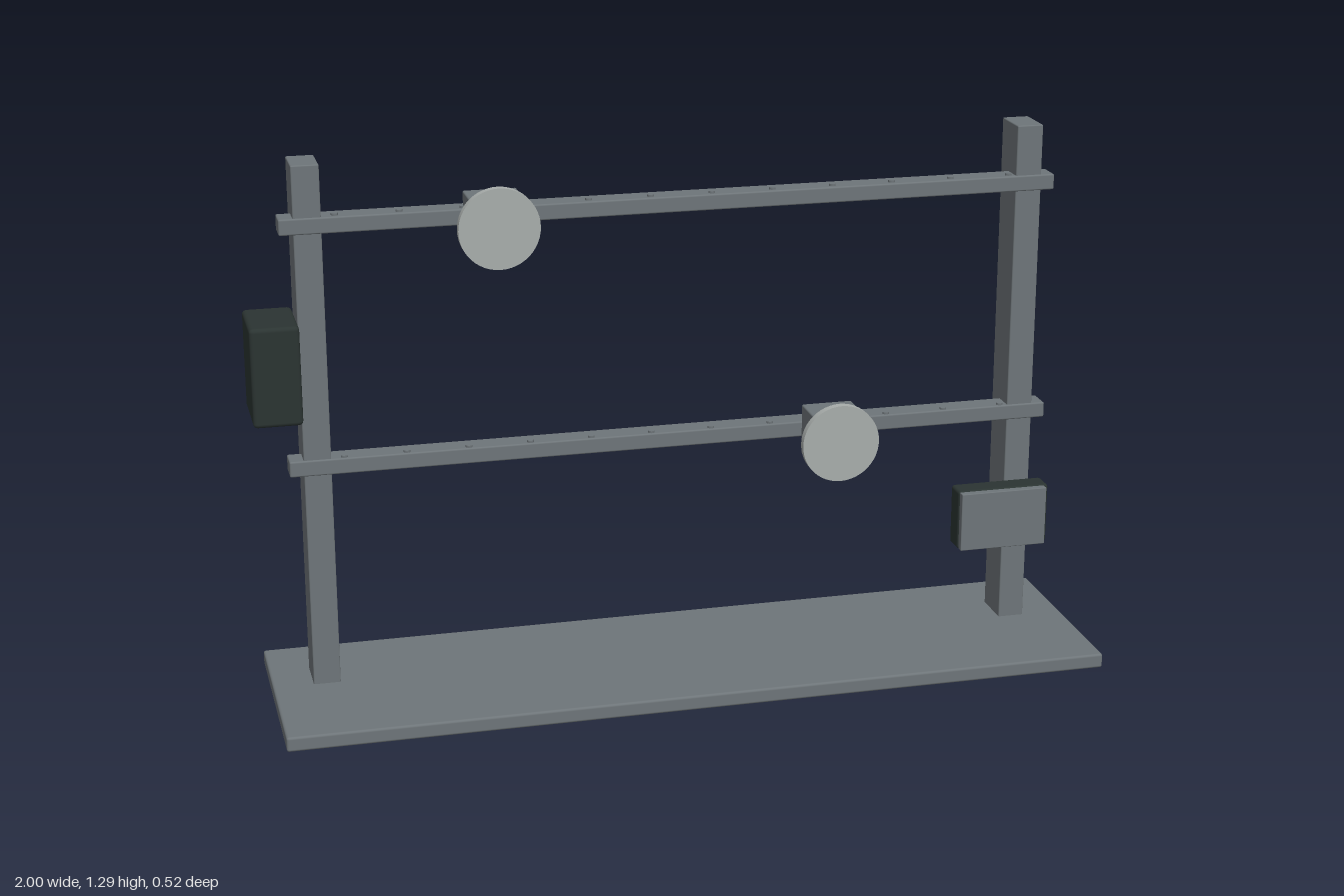
import * as THREE from 'three';
import { RoundedBoxGeometry } from 'three/addons/geometries/RoundedBoxGeometry.js';

function material(name, color) {
  const m = new THREE.MeshStandardMaterial({ color });
  m.name = name;
  return m;
}

export function createModel() {
  const model = new THREE.Group();
  model.name = 'sensorRack';
  const steel = material('steel grey', 0x6e7579);
  const dark = material('dark green grey', 0x2b3432);
  const pale = material('pale grey', 0xa8adab);

  // Box given by its [min, max] extent on each axis, with softened edges
  function box(name, mat, [x0, x1], [y0, y1], [z0, z1], radius = 0.003, parent = model) {
    const geometry = new RoundedBoxGeometry(x1 - x0, y1 - y0, z1 - z0, 2, radius);
    const mesh = new THREE.Mesh(geometry, mat);
    mesh.name = name;
    mesh.position.set((x0 + x1) / 2, (y0 + y1) / 2, (z0 + z1) / 2);
    parent.add(mesh);
    return mesh;
  }

  // Base plate and uprights
  box('basePlate', steel, [-0.983, 1.0], [0, 0.036], [-0.26, 0.26], 0.006);
  for (const [name, x] of [['rightPost', -0.855], ['leftPost', 0.868]]) {
    box(name, steel, [x - 0.032, x + 0.032], [0.03, 1.294], [-0.128, -0.025]);
  }

  // Rails, each with a row of small marker discs and one round sensor
  const markerGeometry = new THREE.CylinderGeometry(0.008, 0.008, 0.005, 12);
  const discGeometry = new THREE.CylinderGeometry(0.094, 0.094, 0.019, 48).rotateX(Math.PI / 2);
  const rails = [
    { name: 'upperRail', y: 1.154, sensorX: -0.439 },
    { name: 'lowerRail', y: 0.579, sensorX: 0.372 },
  ];
  for (const { name, y, sensorX } of rails) {
    box(name, steel, [-0.92, 0.932], [y - 0.019, y + 0.019], [-0.081, -0.021], 0.004);

    const markers = new THREE.Group();
    markers.name = name + 'Markers';
    for (let i = 0; i < 12; i++) {
      const marker = new THREE.Mesh(markerGeometry, steel);
      marker.name = 'marker';
      marker.position.set(-0.794 + i * 0.146, y + 0.027, -0.016);
      markers.add(marker);
    }
    model.add(markers);

    const sensor = new THREE.Group();
    sensor.name = name + 'Sensor';
    box('sensorBody', steel, [sensorX - 0.062, sensorX + 0.062], [y - 0.063, y + 0.062],
      [-0.025, 0.071], 0.004, sensor);
    const disc = new THREE.Mesh(discGeometry, pale);
    disc.name = 'sensorDisc';
    disc.position.set(sensorX, y - 0.002, 0.091);
    sensor.add(disc);
    model.add(sensor);
  }

  // Control box on the outside of the right post
  box('controlBox', dark, [-1.0, -0.886], [0.695, 0.931], [-0.166, 0.011], 0.01);

  // Display unit by the left post
  const display = new THREE.Group();
  display.name = 'display';
  box('displayHousing', dark, [0.684, 0.915], [0.267, 0.417], [0.013, 0.071], 0.008, display);
  box('displayScreen', steel, [0.686, 0.903], [0.27, 0.416], [0.071, 0.09], 0.002, display);
  box('displayBackPlate', steel, [0.715, 0.885], [0.297, 0.387], [0.004, 0.014], 0.002, display);
  model.add(display);

  return model;
}
